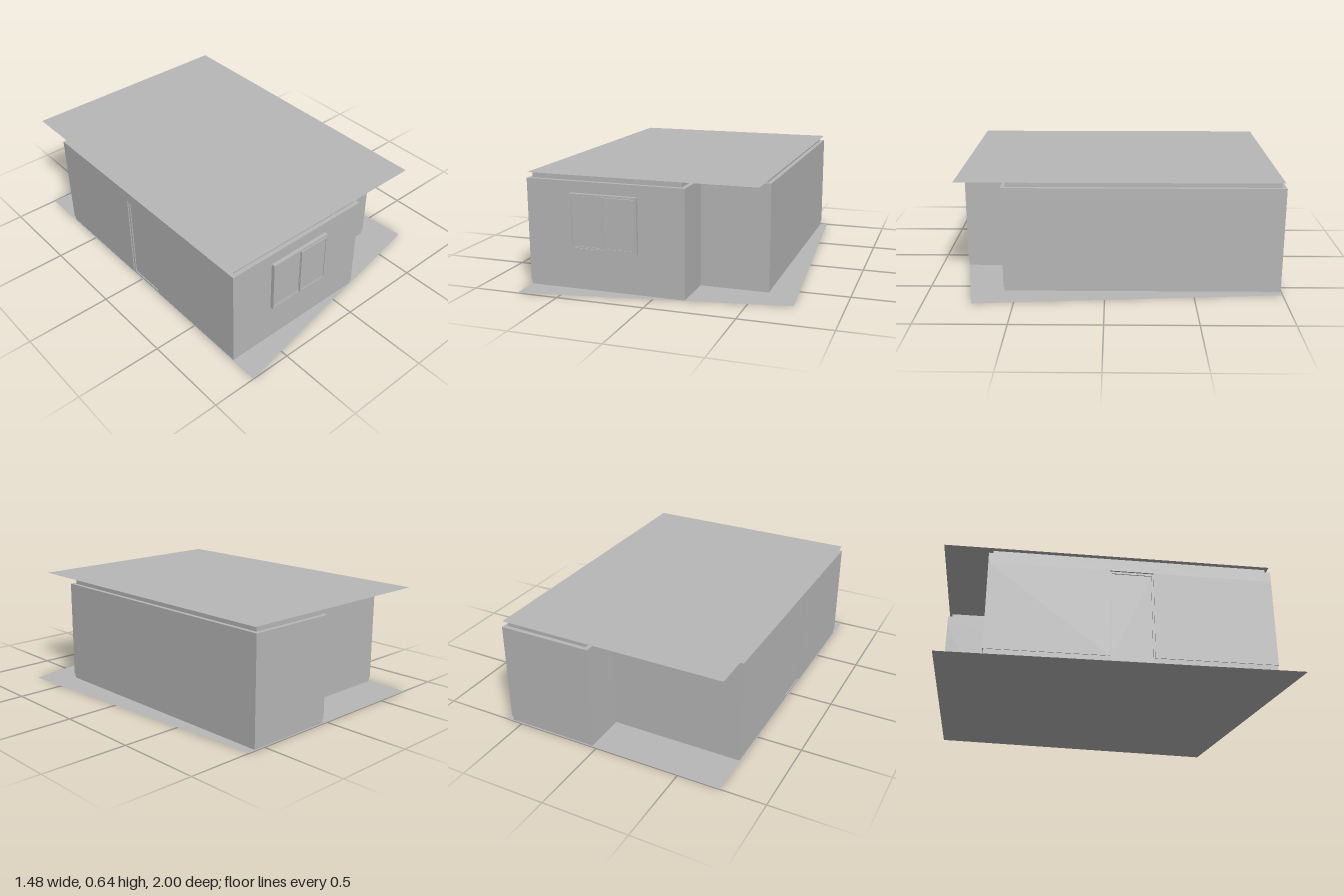
import * as THREE from 'three';

export function createModel() {
  const model = new THREE.Group();
  const plaster = new THREE.MeshStandardMaterial({ color: 0xb8b8b8 });
  plaster.name = 'plain grey';
  const sheet = new THREE.MeshStandardMaterial({ color: 0xb8b8b8, side: THREE.DoubleSide });
  sheet.name = 'plain grey sheet';

  function add(name, geometry, material = plaster, parent = model) {
    const mesh = new THREE.Mesh(geometry, material);
    mesh.name = name;
    parent.add(mesh);
    return mesh;
  }

  // Plan outlines are given as [x, z] and raised along y
  const planShape = (points) => new THREE.Shape(points.map(([x, z]) => new THREE.Vector2(x, -z)));

  function slab(points, y0, y1) {
    const g = new THREE.ExtrudeGeometry(planShape(points), { depth: y1 - y0, bevelEnabled: false });
    return g.rotateX(-Math.PI / 2).translate(0, y0, 0);
  }

  function flat(points, y) {
    return new THREE.ShapeGeometry(planShape(points)).rotateX(-Math.PI / 2).translate(0, y, 0);
  }

  const door = { z0: -0.08, z1: 0.165, top: 0.55, depth: 0.02 };
  const wallX = -0.742;

  // Stepped house plan, shrunk by d, optionally with the door recess
  function footprint(d, recess) {
    const points = [
      [wallX + d, 0.838 - d], [0.175 - d, 0.838 - d], [0.175 - d, 0.575 - d], [0.568 - d, 0.575 - d],
      [0.568 - d, -0.996 + d], [0.025 + d, -0.996 + d], [0.025 + d, -0.745 + d], [wallX + d, -0.745 + d],
    ];
    if (recess) {
      const back = wallX + door.depth;
      points.push([wallX + d, door.z0], [back, door.z0], [back, door.z1], [wallX + d, door.z1]);
    }
    return points;
  }

  // Ground and roof sheets
  add('ground', flat([[-0.742, 0.998], [0.738, 0.733], [0.608, -0.998], [-0.742, -0.998]], 0), sheet);
  add('roof', flat([[-0.742, 0.832], [0.568, 0.832], [0.568, -0.988], [-0.742, -0.988]], 0.641), sheet);

  // Walls
  add('plinth', slab(footprint(0.004, true), 0.002, 0.03));
  add('lowerWalls', slab(footprint(0, true), 0.03, door.top));
  add('upperWalls', slab(footprint(0, false), door.top, 0.61));
  add('roofBand', slab(footprint(0.024, false), 0.61, 0.639));

  // Rectangular ring standing in the xy plane
  function ring(w, h, border, depth) {
    const rect = (P, a, b) => new P([[-a, -b], [a, -b], [a, b], [-a, b]].map((p) => new THREE.Vector2(...p)));
    const shape = rect(THREE.Shape, w / 2, h / 2);
    shape.holes.push(rect(THREE.Path, w / 2 - border, h / 2 - border));
    return new THREE.ExtrudeGeometry(shape, { depth, bevelEnabled: false });
  }

  // Sliding window on the front wing
  const win = new THREE.Group();
  win.name = 'window';
  win.position.set(-0.285, 0.39, 0.838);
  model.add(win);
  add('windowFrame', ring(0.39, 0.312, 0.01, 0.022), plaster, win);
  [[-1, 0.008], [1, 0.016]].forEach(([side, z]) => {
    add('sashFrame', ring(0.19, 0.29, 0.008, 0.012), plaster, win).position.set(side * 0.092, 0, z);
    add('windowPane', new THREE.BoxGeometry(0.176, 0.276, 0.008), plaster, win).position.set(side * 0.092, 0, z + 0.004);
  });

  // Door on the long side
  const doorGroup = new THREE.Group();
  doorGroup.name = 'door';
  doorGroup.position.set(wallX + door.depth, door.top / 2, (door.z0 + door.z1) / 2);
  doorGroup.rotation.y = -Math.PI / 2;
  model.add(doorGroup);
  const doorWidth = door.z1 - door.z0;
  add('doorFrame', ring(doorWidth, door.top - 0.004, 0.012, 0.014), plaster, doorGroup);
  add('doorLeaf', new THREE.BoxGeometry(doorWidth - 0.024, door.top - 0.028, 0.008), plaster, doorGroup).position.z = 0.004;

  return model;
}
